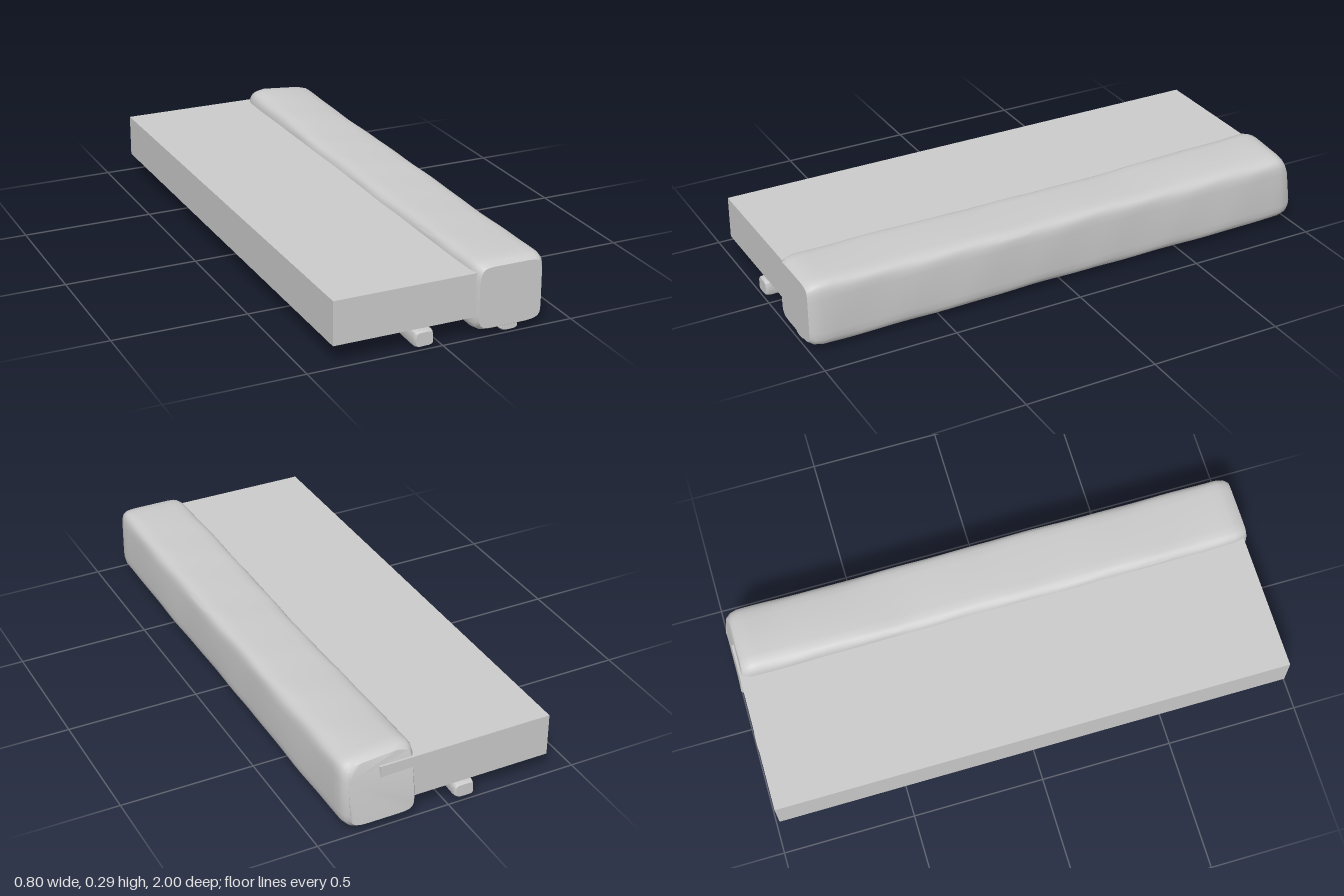
import * as THREE from 'three';
import { toCreasedNormals } from 'three/addons/utils/BufferGeometryUtils.js';

const material = new THREE.MeshStandardMaterial({ color: 0xcccccc });

// Smooth hand-hewn unevenness, about -1..1
const wave = (z, a) => 0.5 * Math.sin(5.3 * z + 2 * a) + 0.3 * Math.sin(11.7 * z - 3 * a + 1) + 0.2 * Math.sin(23 * z + 5 * a);

// Rough bar along z: rounded-square sections lofted between softened ends
function roughBar(name, { x, y, w, h, z0, z1, sides, steps, rough, soft, power, bend }) {
  const stations = [[z0, 0.88], [z0 + soft * 0.35, 0.96], [z0 + soft, 1]];
  for (let i = 1; i < steps; i++) stations.push([z0 + soft + (z1 - z0 - 2 * soft) * i / steps, 1]);
  stations.push([z1 - soft, 1], [z1 - soft * 0.35, 0.96], [z1, 0.88]);

  const round = (v) => Math.sign(v) * Math.abs(v) ** (2 / power);
  const pos = [], index = [];
  for (const [z, s] of stations) {
    for (let j = 0; j < sides; j++) {
      const a = (j + 0.5) / sides * Math.PI * 2;
      const k = s + rough * (wave(z, a) - 1);
      const p = new THREE.Vector3(x + w / 2 * k * round(Math.cos(a)), y + h / 2 * k * round(Math.sin(a)), z);
      if (bend) bend(p);
      pos.push(p.x, p.y, p.z);
    }
  }
  const last = (stations.length - 1) * sides;
  for (let i = 0; i < last; i += sides) {
    for (let j = 0; j < sides; j++) {
      const a = i + j, b = i + (j + 1) % sides;
      index.push(a, b, a + sides, b, b + sides, a + sides);
    }
  }
  // End caps
  for (let j = 1; j < sides - 1; j++) {
    index.push(0, j + 1, j, last, last + j, last + j + 1);
  }
  const geo = new THREE.BufferGeometry();
  geo.setAttribute('position', new THREE.Float32BufferAttribute(pos, 3));
  geo.setIndex(index);
  const mesh = new THREE.Mesh(toCreasedNormals(geo, 0.65), material);
  mesh.name = name;
  return mesh;
}

export function createModel() {
  const model = new THREE.Group();
  model.name = 'edgedSlab';

  // Flat slab, its inner edge buried in the beam
  const slab = new THREE.Mesh(new THREE.BoxGeometry(0.66, 0.162, 1.97), material);
  slab.name = 'slab';
  slab.position.set(-0.07, 0.156, 0);
  model.add(slab);

  // Thick edge beam; its top swells and its end leans in towards the back
  model.add(roughBar('edgeBeam', {
    x: 0.256, y: 0.143, w: 0.28, h: 0.258, z0: -1, z1: 1,
    sides: 28, steps: 44, rough: 0.018, soft: 0.05, power: 7,
    bend: (p) => {
      const up = Math.max(0, (p.y - 0.14) / 0.13);
      const back = THREE.MathUtils.clamp((-p.z - 0.35) / 0.55, 0, 1);
      p.y += 0.028 * up * back * Math.max(0, 1 - Math.abs(p.x - 0.21) / 0.2);
      if (p.z < -0.9) p.z += 0.035 * up * (-p.z - 0.9) / 0.1;
    },
  }));

  // Slim strips running along the underside
  model.add(roughBar('undersideStrip', {
    x: -0.067, y: 0.038, w: 0.08, h: 0.06, z0: -0.995, z1: 0.995,
    sides: 12, steps: 26, rough: 0.06, soft: 0.02, power: 5,
    bend: (p) => { p.y += 0.011 * (1 - p.z * p.z) + 0.003 * Math.sin(6 * p.z); },
  }));
  model.add(roughBar('beamStrip', {
    x: 0.262, y: 0.022, w: 0.075, h: 0.042, z0: -0.97, z1: 0.99,
    sides: 12, steps: 26, rough: 0.06, soft: 0.02, power: 4,
    bend: (p) => { p.y += 0.006 * (1 - Math.cos(3 * (p.z - 0.6))) / 2; },
  }));
  return model;
}
